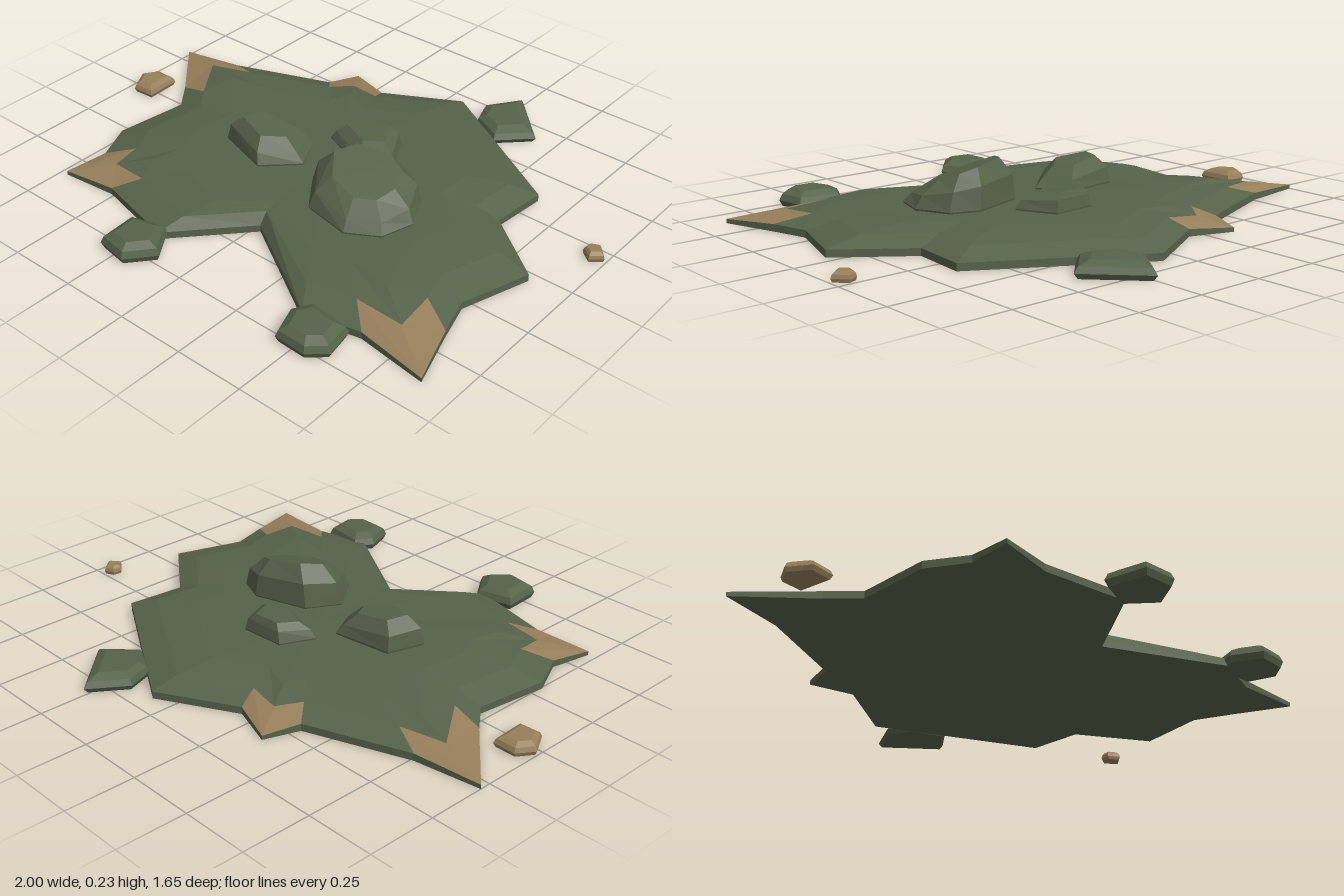
import * as THREE from 'three';

const moss = new THREE.MeshStandardMaterial({ color: 0x56624a, flatShading: true });
const clay = new THREE.MeshStandardMaterial({ color: 0x967e5a, flatShading: true });

function facetMesh(name, triangles, material) {
  const geometry = new THREE.BufferGeometry().setFromPoints(triangles);
  geometry.computeVertexNormals();
  const mesh = new THREE.Mesh(geometry, material);
  mesh.name = name;
  return mesh;
}

// Triangles between two loops, for the segment from corner i to the next one
function band(low, high, i) {
  const j = (i + 1) % low.length;
  return [low[i], high[i], high[j], low[i], high[j], low[j]];
}

function cap(loop, centre, up) {
  return loop.flatMap((p, i) => {
    const q = loop[(i + 1) % loop.length];
    return up ? [centre, q, p] : [centre, p, q];
  });
}

const middle = (loop) =>
  loop.reduce((sum, p) => sum.add(p), new THREE.Vector3()).divideScalar(loop.length);

// Slab outline: x, z, kind (t = clay tip, n = notch with a steep bank)
const outline = [
  [0.08, -0.68], [0.64, -0.35], [0.62, -0.14], [0.86, 0.04], [0.78, 0.29],
  [0.82, 0.43], [0.885, 0.635, 't'], [0.63, 0.6], [0.43, 0.645], [0.03, 0.4, 'n'],
  [-0.2, 0.65], [-0.51, 0.575], [-0.72, 0.595, 't'], [-0.69, 0.44], [-0.755, 0.3],
  [-0.72, 0.03], [-0.8, -0.07], [-1, -0.29, 't'], [-0.76, -0.325], [-0.56, -0.4],
  [-0.4, -0.46], [-0.355, -0.585, 't'], [-0.195, -0.53],
];

function createSlab() {
  const ring = (fn) => outline.map(([x, z, kind]) => {
    const [s, y] = fn(kind);
    return new THREE.Vector3(x * s, y, z * s);
  });
  const base = ring(() => [1, 0]);
  const rim = ring((k) => [1, k === 't' ? 0.015 : 0.026]);
  const shoulder = ring((k) => (k === 't' ? [0.81, 0.047] : k === 'n' ? [0.91, 0.064] : [0.86, 0.056]));
  const plateau = ring((k) => [k === 'n' ? 0.8 : 0.66, 0.071]);

  const green = cap(base, new THREE.Vector3(), false);
  const brown = [];
  outline.forEach((p, i) => {
    const next = outline[(i + 1) % outline.length];
    const isTip = p[2] === 't' || next[2] === 't';
    green.push(...band(base, rim, i), ...band(shoulder, plateau, i));
    (isTip ? brown : green).push(...band(rim, shoulder, i));
  });
  green.push(...cap(plateau, new THREE.Vector3(0, 0.074, 0), true));

  const slab = new THREE.Group();
  slab.name = 'slab';
  slab.add(facetMesh('mossSlab', green, moss), facetMesh('clayTips', brown, clay));
  return slab;
}

// Faceted stone: levels are [scale, y, shiftX, shiftZ, tiltX, tiltZ] from bottom to top
function createStone(name, corners, levels, material) {
  const centre = middle(corners.map(([x, z]) => new THREE.Vector3(x, 0, z)));
  const loops = levels.map(([s, y, sx = 0, sz = 0, tx = 0, tz = 0]) =>
    corners.map(([x, z]) => {
      const dx = (x - centre.x) * s + sx;
      const dz = (z - centre.z) * s + sz;
      return new THREE.Vector3(centre.x + dx, y + tx * dx + tz * dz, centre.z + dz);
    }));
  const top = loops[loops.length - 1];
  const triangles = [...cap(loops[0], middle(loops[0]), false), ...cap(top, middle(top), true)];
  for (let k = 0; k + 1 < loops.length; k++) {
    corners.forEach((_, i) => triangles.push(...band(loops[k], loops[k + 1], i)));
  }
  return facetMesh(name, triangles, material);
}

export function createModel() {
  const model = new THREE.Group();
  model.name = 'rockyGroundPatch';
  model.add(createSlab());

  // Boulders on the plateau
  model.add(
    createStone('largeBoulder',
      [[0.1, 0.02], [0.3, -0.04], [0.4, 0], [0.455, 0.12], [0.42, 0.24], [0.31, 0.305], [0.13, 0.27], [0.035, 0.14]],
      [[0.97, 0.06], [1, 0.078], [0.9, 0.135, -0.005, -0.01, -0.1, -0.15], [0.6, 0.18, -0.015, -0.02, -0.2, -0.28]], moss),
    createStone('leftBoulder',
      [[-0.33, 0], [-0.11, 0.03 - 0.06], [-0.05, 0.09], [-0.165, 0.2], [-0.37, 0.135]],
      [[0.97, 0.06], [1, 0.08], [0.88, 0.12, -0.01, 0, -0.1, 0], [0.56, 0.163, -0.015, 0, -0.12, 0]], moss),
    createStone('backBoulder',
      [[-0.035, -0.225], [0.13, -0.235], [0.2, -0.1], [0.085, -0.035], [-0.09, -0.105]],
      [[0.97, 0.06], [1, 0.078], [0.88, 0.11, 0, -0.005, 0, -0.1], [0.6, 0.136, -0.01, -0.02, 0, -0.1]], moss),
  );

  // Loose stones around the edge
  const looseStones = [
    ['backStone', 0.055, moss, [[0.255, -0.83], [0.43, -0.65], [0.32, -0.54], [0.2, -0.6], [0.165, -0.7]]],
    ['frontRightStone', 0.064, moss, [[-0.32, 0.655], [-0.185, 0.62], [-0.11, 0.73], [-0.19, 0.825], [-0.31, 0.805]]],
    ['frontLeftStone', 0.062, moss, [[0.4, 0.67], [0.44, 0.6], [0.6, 0.62], [0.62, 0.73], [0.56, 0.785], [0.44, 0.78]]],
    ['clayStone', 0.043, clay, [[-0.96, -0.09], [-0.875, -0.09], [-0.87, 0.045], [-0.955, 0.05], [-1, -0.03]]],
    ['clayPebble', 0.034, clay, [[0.955, -0.245], [0.995, -0.2], [0.955, -0.165], [0.915, -0.195], [0.92, -0.23]]],
  ];
  for (const [name, h, material, corners] of looseStones) {
    model.add(createStone(name, corners,
      [[0.9, 0], [1, h * 0.35], [0.9, h * 0.72], [0.6, h]], material));
  }
  return model;
}
